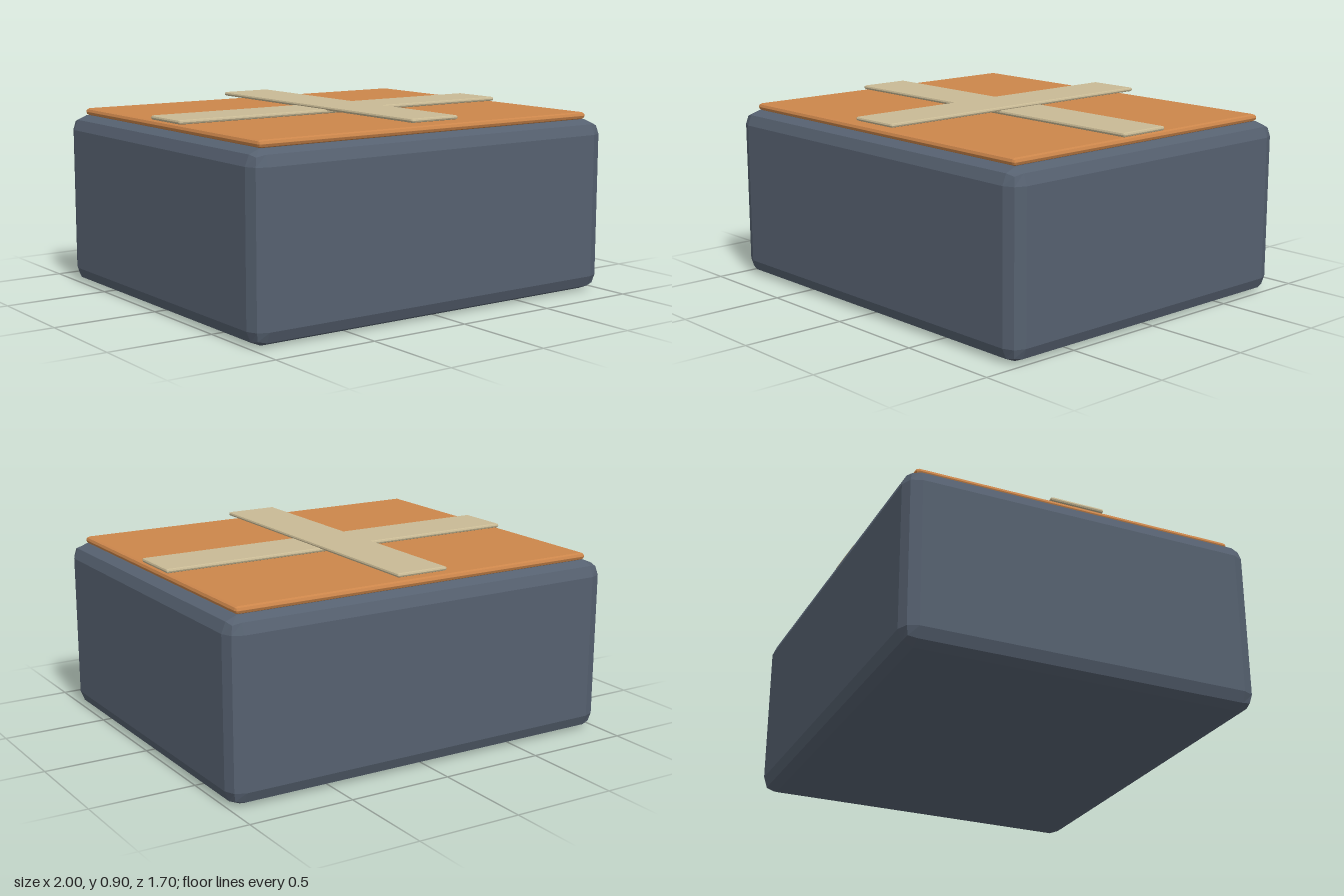
import * as THREE from 'three';
import { RoundedBoxGeometry } from 'three/addons/geometries/RoundedBoxGeometry.js';

const material = (name, color) => {
  const m = new THREE.MeshStandardMaterial({ color });
  m.name = name;
  return m;
};

export function createModel() {
  const slate = material('slate blue', 0x566170);
  const orange = material('cardboard orange', 0xcc864b);
  const beige = material('tape beige', 0xc9ba95);
  const group = new THREE.Group();
  group.name = 'tapedBox';

  // Block with two-facet bevels on every edge, flat shaded, spanning y0 to y1
  const addBlock = (name, width, depth, y0, y1, bevel, mat) => {
    const geometry = new RoundedBoxGeometry(width, y1 - y0, depth, 1, bevel);
    geometry.computeVertexNormals();
    const mesh = new THREE.Mesh(geometry, mat);
    mesh.name = name;
    mesh.position.y = (y0 + y1) / 2;
    group.add(mesh);
  };

  // Crate and its thin lid
  addBlock('boxBody', 2, 1.7, 0, 0.83, 0.07, slate);
  addBlock('lid', 1.87, 1.575, 0.83, 0.864, 0.0165, orange);

  // Crossed tape strips
  addBlock('crossStrip', 1.86, 0.265, 0.866, 0.886, 0.009, beige);
  addBlock('lengthStrip', 0.265, 1.57, 0.881, 0.9, 0.009, beige);

  return group;
}
